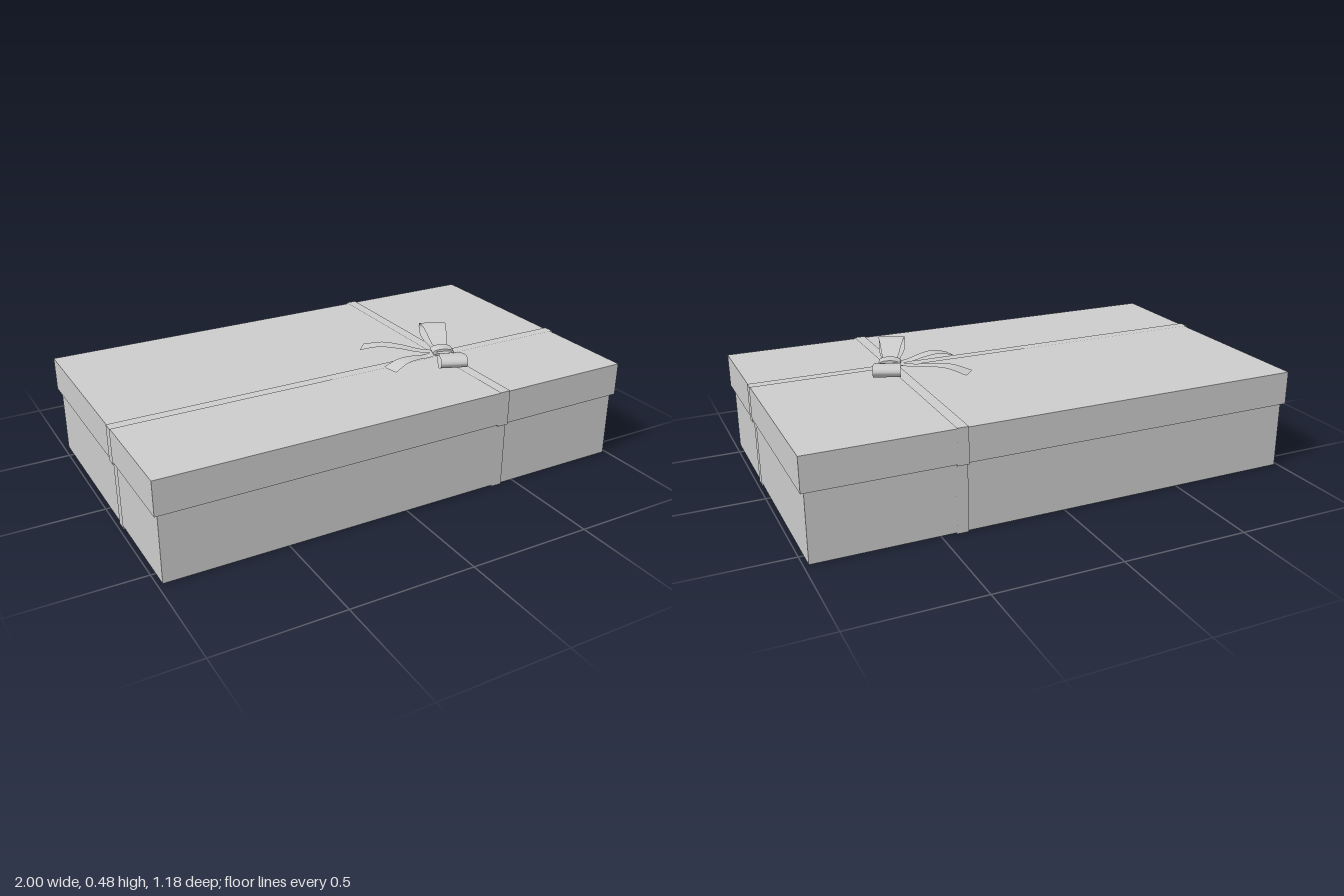
import * as THREE from 'three';

const grey = new THREE.MeshStandardMaterial({ color: 0xcccccc });
const cloth = new THREE.MeshStandardMaterial({ color: 0xcccccc, side: THREE.DoubleSide });

function add(parent, name, geometry, material) {
  const mesh = new THREE.Mesh(geometry, material);
  mesh.name = name;
  parent.add(mesh);
  return mesh;
}

// Band of cloth along a list of points; across(t) gives the half-width vector
function ribbonGeometry(points, across) {
  const positions = [], index = [];
  points.forEach((p, i) => {
    const a = across(i / (points.length - 1), p);
    positions.push(p.x - a.x, p.y - a.y, p.z - a.z, p.x + a.x, p.y + a.y, p.z + a.z);
    const k = i * 2;
    if (i < points.length - 1) index.push(k, k + 1, k + 2, k + 1, k + 3, k + 2);
  });
  const g = new THREE.BufferGeometry();
  g.setAttribute('position', new THREE.Float32BufferAttribute(positions, 3));
  g.setIndex(index);
  g.computeVertexNormals();
  return g;
}

// Ribbon wrapped once round the box, stepping out over the lid
function wrapGeometry(boxHalf, lidHalf) {
  const e = 0.004, b = boxHalf + e, l = lidHalf + e;
  const half = [[0, 0], [b, 0], [b, 0.271], [l, 0.271], [l, 0.414], [0, 0.414]];
  const outline = [...half, ...half.slice(1, -1).reverse().map(([u, y]) => [-u, y]), half[0]];
  const points = outline.map(([u, y]) => new THREE.Vector3(u, y, 0));
  const g = ribbonGeometry(points, () => new THREE.Vector3(0, 0, -0.0225)).toNonIndexed();
  g.computeVertexNormals();
  return g;
}

export function createModel() {
  const model = new THREE.Group();
  model.name = 'giftBox';

  // Box and overhanging lid
  add(model, 'box', new THREE.BoxGeometry(1.964, 0.29, 1.146), grey).position.y = 0.148;
  add(model, 'lid', new THREE.BoxGeometry(1.992, 0.135, 1.172), grey).position.y = 0.3425;

  // Two crossing ribbons
  add(model, 'longRibbon', wrapGeometry(0.982, 0.996), cloth).position.z = 0.148;
  const cross = add(model, 'crossRibbon', wrapGeometry(0.573, 0.586), cloth);
  cross.rotation.y = Math.PI / 2;
  cross.position.x = 0.418;

  // Bow, turned relative to the box
  const bow = new THREE.Group();
  bow.name = 'bow';
  bow.position.set(0.427, 0, 0.153);
  bow.rotation.y = 1.19;
  model.add(bow);

  const profile = [[0, 0.432], [0.06, 0.44], [0.12, 0.465], [0.175, 0.478], [0.212, 0.472],
    [0.221, 0.455], [0.2, 0.434], [0.15, 0.421], [0.08, 0.417], [0, 0.418]];
  for (const side of [1, -1]) {
    const curve = new THREE.CatmullRomCurve3(profile.map(([x, y]) => new THREE.Vector3(x * side, y, 0)));
    const loop = ribbonGeometry(curve.getPoints(48), (t, p) =>
      new THREE.Vector3(0, 0, side * (0.024 + 0.03 * Math.min(1, Math.abs(p.x) / 0.18))));
    add(bow, side > 0 ? 'backLoop' : 'frontLoop', loop, cloth);
  }

  // Knot: a flattened band across the middle
  const knotGeometry = new THREE.CylinderGeometry(1, 1, 0.055, 24).rotateZ(Math.PI / 2);
  knotGeometry.scale(1, 0.016, 0.045);
  add(bow, 'knot', knotGeometry, grey).position.y = 0.428;

  // Loose tails, arching and drooping on to the lid
  for (const [name, x, z] of [['backTail', 0.171, -0.07], ['frontTail', 0.145, 0.198]]) {
    const start = new THREE.Vector3(0.41, 0, 0.15), end = new THREE.Vector3(x, 0, z);
    const heights = [0.424, 0.422, 0.432, 0.434, 0.415];
    const curve = new THREE.CatmullRomCurve3(heights.map((y, i) =>
      start.clone().lerp(end, i / 4).setY(y)));
    const dir = end.clone().sub(start).normalize();
    const sideways = new THREE.Vector3(-dir.z, 0, dir.x);
    add(model, name, ribbonGeometry(curve.getPoints(24), (t) =>
      sideways.clone().multiplyScalar(0.014 + 0.022 * t)), cloth);
  }
  return model;
}
